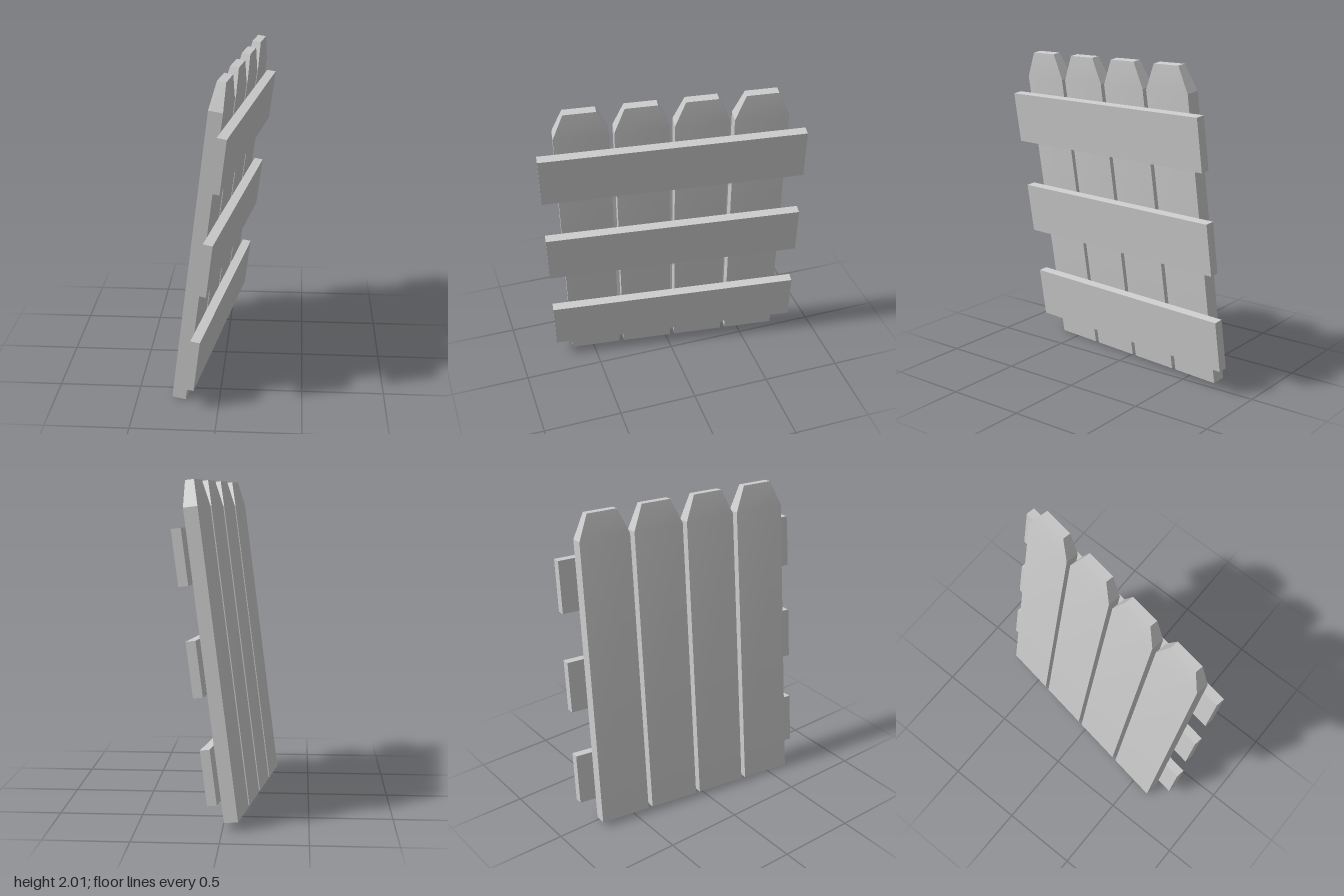
import * as THREE from 'three';
import { toCreasedNormals } from 'three/addons/utils/BufferGeometryUtils.js';

const material = new THREE.MeshStandardMaterial({ color: 0xcccccc });

// Picket: a box whose upper row narrows and thins above the shoulder
function picketGeometry(width, shoulder, height, thickness) {
  const g = new THREE.BoxGeometry(width, 2, thickness, 1, 2, 1);
  const p = g.attributes.position;
  for (let i = 0; i < p.count; i++) {
    const row = Math.round(p.getY(i)) + 1; // 0 foot, 1 shoulder, 2 tip
    p.setY(i, [0, shoulder, height][row]);
    if (row === 2) {
      p.setX(i, p.getX(i) * 0.59);
      p.setZ(i, p.getZ(i) * 0.62);
    }
  }
  return toCreasedNormals(g, 0.3);
}

export function createModel() {
  const model = new THREE.Group();
  model.name = 'fencePanel';

  // The panel is built flat, then leaned: x runs along the rails, z out of the rail side
  const panel = new THREE.Group();
  panel.name = 'leaningPanel';
  const along = new THREE.Vector3(0.143, 0.022, -0.989).normalize();
  const out = new THREE.Vector3().crossVectors(along, new THREE.Vector3(0.128, 0.991, 0.041)).normalize();
  const up = new THREE.Vector3().crossVectors(out, along);
  panel.quaternion.setFromRotationMatrix(new THREE.Matrix4().makeBasis(along, up, out));
  panel.position.set(-0.205, 0.005, 0.645);
  model.add(panel);

  // Four pickets
  const width = 0.325, spacing = 0.354, thickness = 0.085;
  const picket = picketGeometry(width, 1.83, 1.985, thickness);
  for (let i = 0; i < 4; i++) {
    const mesh = new THREE.Mesh(picket, material);
    mesh.name = `picket${i + 1}`;
    mesh.position.set(width / 2 + i * spacing, 0, -thickness / 2);
    panel.add(mesh);
  }

  // Three cross rails
  const rail = new THREE.BoxGeometry(1.598, 0.325, 0.058);
  [0.297, 0.922, 1.557].forEach((y, i) => {
    const mesh = new THREE.Mesh(rail, material);
    mesh.name = `rail${i + 1}`;
    mesh.position.set(0.695, y, 0.029);
    panel.add(mesh);
  });

  return model;
}
